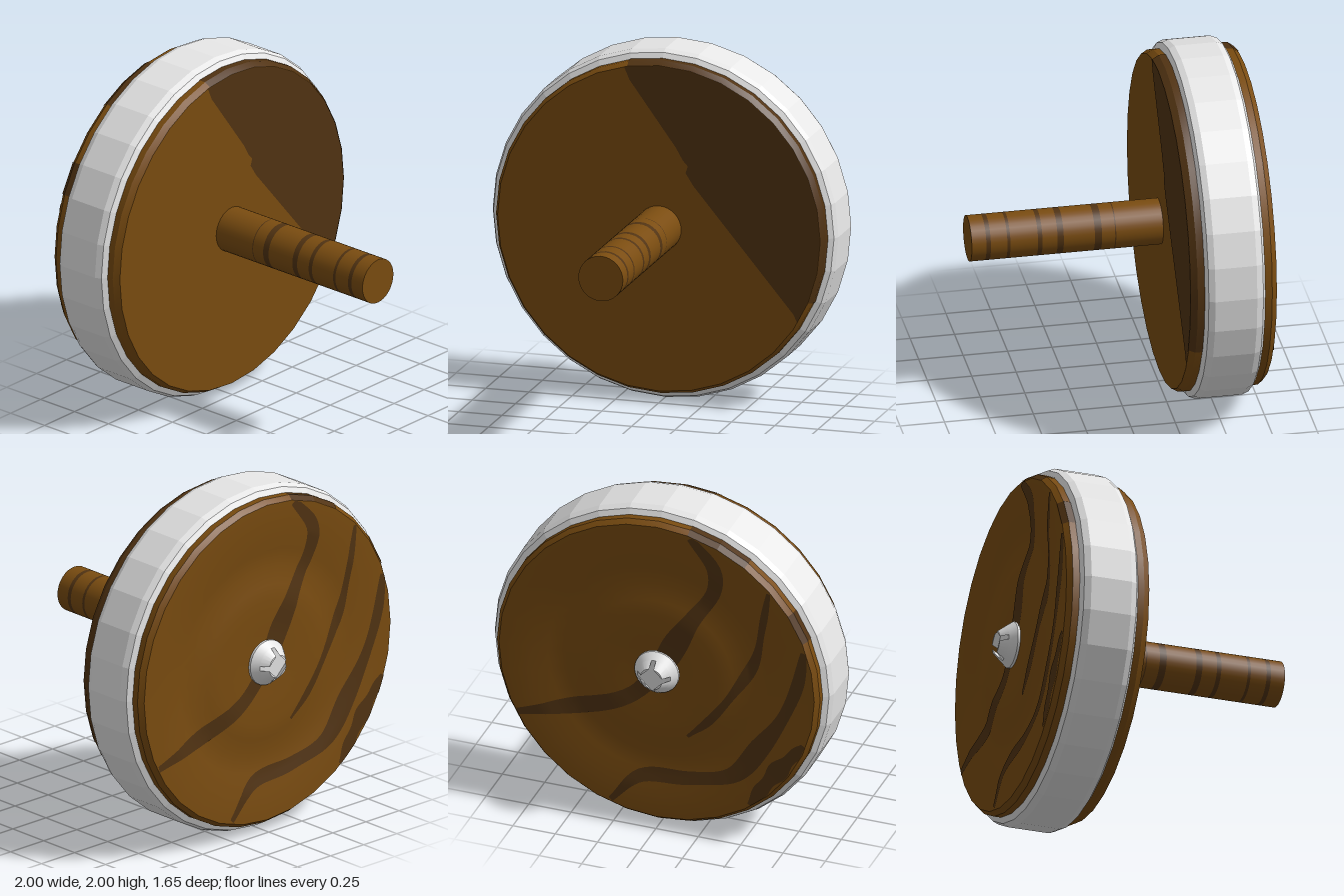
import * as THREE from 'three';
import { toCreasedNormals } from 'three/addons/utils/BufferGeometryUtils.js';

const SEG = 32, STEP = Math.PI * 2 / SEG;
const FRONT = -0.255, BACK = -0.738;

// Back face of the disc: radius, z (a shallow turned groove around the hub)
const backFace = [
  [0, BACK + 0.012], [0.2, BACK + 0.012], [0.36, BACK + 0.002], [0.45, BACK + 0.012],
  [0.55, BACK + 0.028], [0.65, BACK + 0.02], [0.76, BACK + 0.002], [0.93, BACK],
];

function backDepth(r) {
  for (let i = 1; i < backFace.length; i++) {
    const [r0, z0] = backFace[i - 1], [r1, z1] = backFace[i];
    if (r <= r1) return z0 + (z1 - z0) * (r - r0) / (r1 - r0);
  }
  return BACK;
}

// Turned shape around the z axis; profile runs from back to front
function turned(profile, crease, firstSeg = 0, segs = SEG) {
  const pts = profile.map(([r, z]) => new THREE.Vector2(r, z));
  const g = new THREE.LatheGeometry(pts, segs, firstSeg * STEP, segs * STEP);
  g.rotateX(Math.PI / 2);
  return toCreasedNormals(g, crease);
}

// Wood grain ribbon lying on the back face: path of x, y offsets from the hub
function grainRibbon(path, width) {
  const curve = new THREE.CatmullRomCurve3(path.map(([x, y]) => new THREE.Vector3(x, y, 0)));
  const n = 48, m = 4, pos = [], idx = [];
  for (let i = 0; i <= n; i++) {
    const t = i / n, p = curve.getPoint(t), d = curve.getTangent(t);
    const w = width * (0.4 + 0.6 * Math.sin(Math.PI * t)) * (1 + 0.2 * Math.sin(t * 17));
    for (let j = 0; j <= m; j++) {
      const s = (j / m - 0.5) * w;
      let x = p.x - d.y * s, y = p.y + d.x * s;
      const r = Math.hypot(x, y), k = Math.min(1, 0.925 / r);
      x *= k; y *= k;
      pos.push(x, y, backDepth(r * k) - 0.004);
      if (i < n && j < m) {
        const a = i * (m + 1) + j, b = a + m + 1;
        idx.push(a, a + 1, b, b, a + 1, b + 1);
      }
    }
  }
  const g = new THREE.BufferGeometry();
  g.setAttribute('position', new THREE.Float32BufferAttribute(pos, 3));
  g.setIndex(idx);
  g.computeVertexNormals();
  return g;
}

export function createModel() {
  const wood = new THREE.MeshStandardMaterial({ color: 0x7a4c10 });
  const darkWood = new THREE.MeshStandardMaterial({ color: 0x513312, side: THREE.DoubleSide });
  const tyreWhite = new THREE.MeshStandardMaterial({ color: 0xececec });
  const metal = new THREE.MeshStandardMaterial({ color: 0xe2e2e2 });
  wood.name = 'wood'; darkWood.name = 'darkWood'; tyreWhite.name = 'tyreWhite'; metal.name = 'metal';

  const model = new THREE.Group();
  model.name = 'wheelOnAxle';
  const wheel = new THREE.Group();
  wheel.name = 'wheel';
  wheel.position.y = 1;
  model.add(wheel);
  const add = (name, geo, mat, parent = wheel) => {
    const mesh = new THREE.Mesh(geo, mat);
    mesh.name = name;
    parent.add(mesh);
    return mesh;
  };

  // Wooden disc with chamfered edges
  add('woodenDisc', turned([
    ...backFace, [0.953, BACK + 0.03], [0.953, FRONT - 0.035], [0.933, FRONT], [0, FRONT],
  ], 0.25), wood);

  // Faceted tyre
  add('tyre', turned([
    [0.93, -0.668], [0.955, -0.668], [0.985, -0.652], [1, -0.615],
    [1, -0.38], [0.985, -0.345], [0.955, -0.328], [0.93, -0.328],
  ], 0.01), tyreWhite);

  // Dark grain covering one side of the front face
  const edge = [[0.155, 0.33], [0.168, 0.37], [0.14, 0.4], [0.1, 0.47], [-0.17, 0.84], [-0.2, 0.91]];
  const patch = new THREE.Shape();
  patch.moveTo(0.8, -0.475);
  patch.lineTo(0.78, -0.43);
  patch.lineTo(0.2, 0.26);
  edge.forEach(([x, y]) => patch.lineTo(x, y));
  for (let i = 9; i >= -2; i--) patch.lineTo(0.931 * Math.cos(i * STEP), 0.931 * Math.sin(i * STEP));
  const patchGeo = new THREE.ShapeGeometry(patch);
  patchGeo.translate(0, 0, FRONT + 0.003);
  add('frontGrain', patchGeo, darkWood);
  add('frontRimGrain', turned([
    [0.956, -0.33], [0.956, FRONT - 0.034], [0.934, FRONT + 0.003],
  ], 0.25, 6, 11), darkWood);

  // Grain ribbons on the back face
  const grains = [
    [[[-0.2, 0.9], [-0.34, 0.72], [-0.33, 0.57], [-0.2, 0.36], [-0.11, 0.2], [-0.02, 0.03],
      [0.14, -0.17], [0.38, -0.29], [0.61, -0.36], [0.82, -0.42]], 0.12],
    [[[-0.66, 0.64], [-0.62, 0.4], [-0.57, 0.17], [-0.45, -0.05], [-0.31, -0.25], [-0.18, -0.38]], 0.06],
    [[[-0.87, 0.3], [-0.83, 0.08], [-0.74, -0.15], [-0.61, -0.36], [-0.45, -0.57],
      [-0.19, -0.65], [0.1, -0.69], [0.27, -0.87]], 0.1],
    [[[-0.87, -0.3], [-0.76, -0.43], [-0.65, -0.58], [-0.55, -0.74]], 0.1],
  ];
  grains.forEach(([path, width]) => add('backGrain', grainRibbon(path, width), darkWood));
  // Ribbon ends wrapping over the back rim
  for (const seg of [17, 18, 21]) {
    add('backRimGrain', turned([
      [0.932, BACK - 0.003], [0.956, BACK + 0.029], [0.956, -0.66],
    ], 0.25, seg, 1), darkWood);
  }

  // Axle rod made of plain sections and dark grain bands
  const axle = new THREE.Group();
  axle.name = 'axle';
  wheel.add(axle);
  const cuts = [-0.27, 0.01, 0.016, 0.09, 0.13, 0.305, 0.34, 0.425, 0.45, 0.605, 0.622, 0.715, 0.74, 0.822];
  for (let i = 1; i < cuts.length; i++) {
    const len = cuts[i] - cuts[i - 1], last = i === cuts.length - 1;
    const g = new THREE.CylinderGeometry(0.129, 0.129, len, SEG, 1, !last);
    g.rotateX(Math.PI / 2);
    g.translate(0, 0, cuts[i - 1] + len / 2);
    add(i % 2 ? 'axleSection' : 'axleBand', g, i % 2 ? wood : darkWood, axle);
  }

  // Screw head: conical base with four lobes that leave a cross slot
  const screw = new THREE.Group();
  screw.name = 'screw';
  wheel.add(screw);
  const slotZ = 0.782, topZ = 0.825, r0 = 0.098, r1 = 0.063, w = 0.013;
  add('screwBase', turned([[0, -slotZ], [r0, -slotZ], [0.13, -0.74], [0.13, -0.715]], 0.6), metal, screw);
  const lobe = new THREE.Shape();
  const a0 = Math.asin(w / r0);
  lobe.moveTo(w, w);
  lobe.absarc(0, 0, r0, a0, Math.PI / 2 - a0, false);
  lobe.closePath();
  for (let q = 0; q < 4; q++) {
    const g = new THREE.ExtrudeGeometry(lobe, { depth: topZ - slotZ, bevelEnabled: false, curveSegments: 8 });
    const p = g.attributes.position, k = (r1 - w) / (r0 - w);
    // Taper the outer end towards the slot corner
    for (let i = 0; i < p.count; i++) {
      if (p.getZ(i) > 0.01) p.setXY(i, w + (p.getX(i) - w) * k, w + (p.getY(i) - w) * k);
    }
    g.rotateY(Math.PI);
    g.rotateZ(q * Math.PI / 2);
    g.translate(0, 0, -slotZ);
    add('screwLobe', toCreasedNormals(g, 0.6), metal, screw);
  }
  return model;
}
